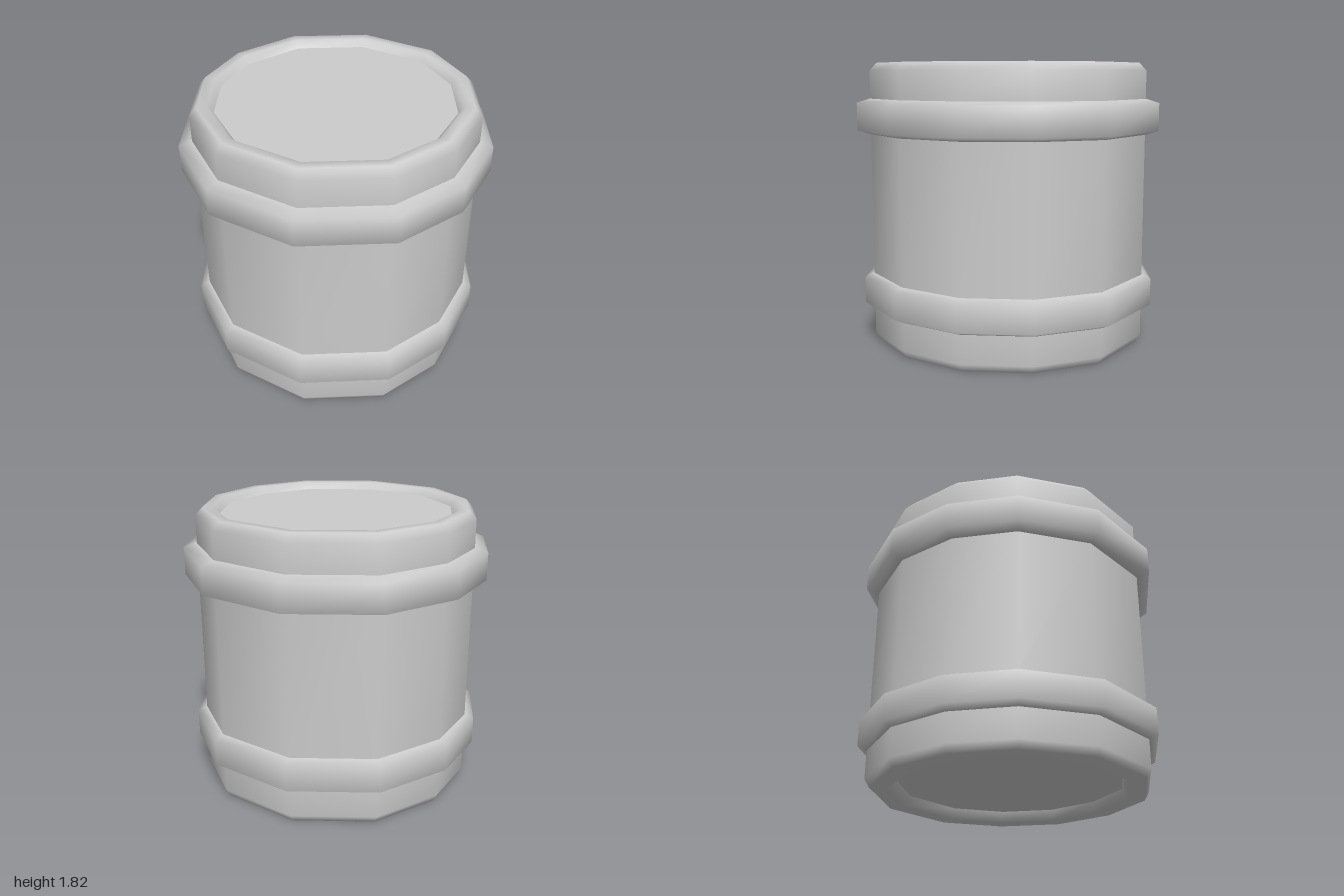
import * as THREE from 'three';

// Twelve-sided, slightly irregular outline [x, z], running from +z towards +x
const OUTLINE = [
  [0, 0.91], [0.505, 0.76], [0.79, 0.42], [0.895, 0], [0.79, -0.42], [0.505, -0.76],
  [0, -0.91], [-0.505, -0.76], [-0.805, -0.4], [-0.895, 0], [-0.805, 0.4], [-0.505, 0.76],
];
const N = OUTLINE.length;
const material = new THREE.MeshStandardMaterial({ color: 0xcccccc });

function makeMesh(name, positions, indices) {
  const geometry = new THREE.BufferGeometry();
  geometry.setAttribute('position', new THREE.Float32BufferAttribute(positions, 3));
  geometry.setIndex(indices);
  geometry.computeVertexNormals();
  const mesh = new THREE.Mesh(geometry, material);
  mesh.name = name;
  return mesh;
}

// Points of the outline scaled to radius r (measured along z) at height y
const ring = (r, y) => OUTLINE.flatMap(([x, z]) => [(x * r) / 0.91, y, (z * r) / 0.91]);

// Smooth band through a [radius, height] profile listed upwards on the outside
function loft(name, profile) {
  const positions = profile.flatMap(([r, y]) => ring(r, y));
  const indices = [];
  for (let i = 0; i < profile.length - 1; i++) {
    for (let j = 0; j < N; j++) {
      const a = i * N + j, b = i * N + ((j + 1) % N);
      indices.push(a, b, b + N, a, b + N, a + N);
    }
  }
  return makeMesh(name, positions, indices);
}

// Flat disc closing an end
function disc(name, r, y, up) {
  const positions = [...ring(r, y), 0, y, 0];
  const indices = [];
  for (let j = 0; j < N; j++) {
    const k = (j + 1) % N;
    indices.push(N, up ? j : k, up ? k : j);
  }
  return makeMesh(name, positions, indices);
}

// Bevelled hoop whose edges meet the barrel wall
function hoop(name, r, bottom, top) {
  return loft(name, [
    [0.89, bottom], [0.915, bottom], [r, bottom + 0.025],
    [r, top - 0.025], [0.915, top], [0.89, top],
  ]);
}

export function createModel() {
  const model = new THREE.Group();
  model.name = 'barrel';

  // Wall with rolled rims at both ends
  model.add(loft('barrelWall', [
    [0.73, 0.07], [0.76, 0], [0.88, 0], [0.91, 0.05],
    [0.91, 0.235], [0.91, 0.455], [0.91, 1.365], [0.91, 1.59],
    [0.91, 1.765], [0.865, 1.815], [0.8, 1.815], [0.76, 1.77],
  ]));

  // Recessed ends
  model.add(disc('lid', 0.76, 1.77, true));
  model.add(disc('base', 0.73, 0.07, false));

  // Raised hoops
  model.add(hoop('upperHoop', 0.995, 1.365, 1.59));
  model.add(hoop('lowerHoop', 0.97, 0.235, 0.455));

  return model;
}
